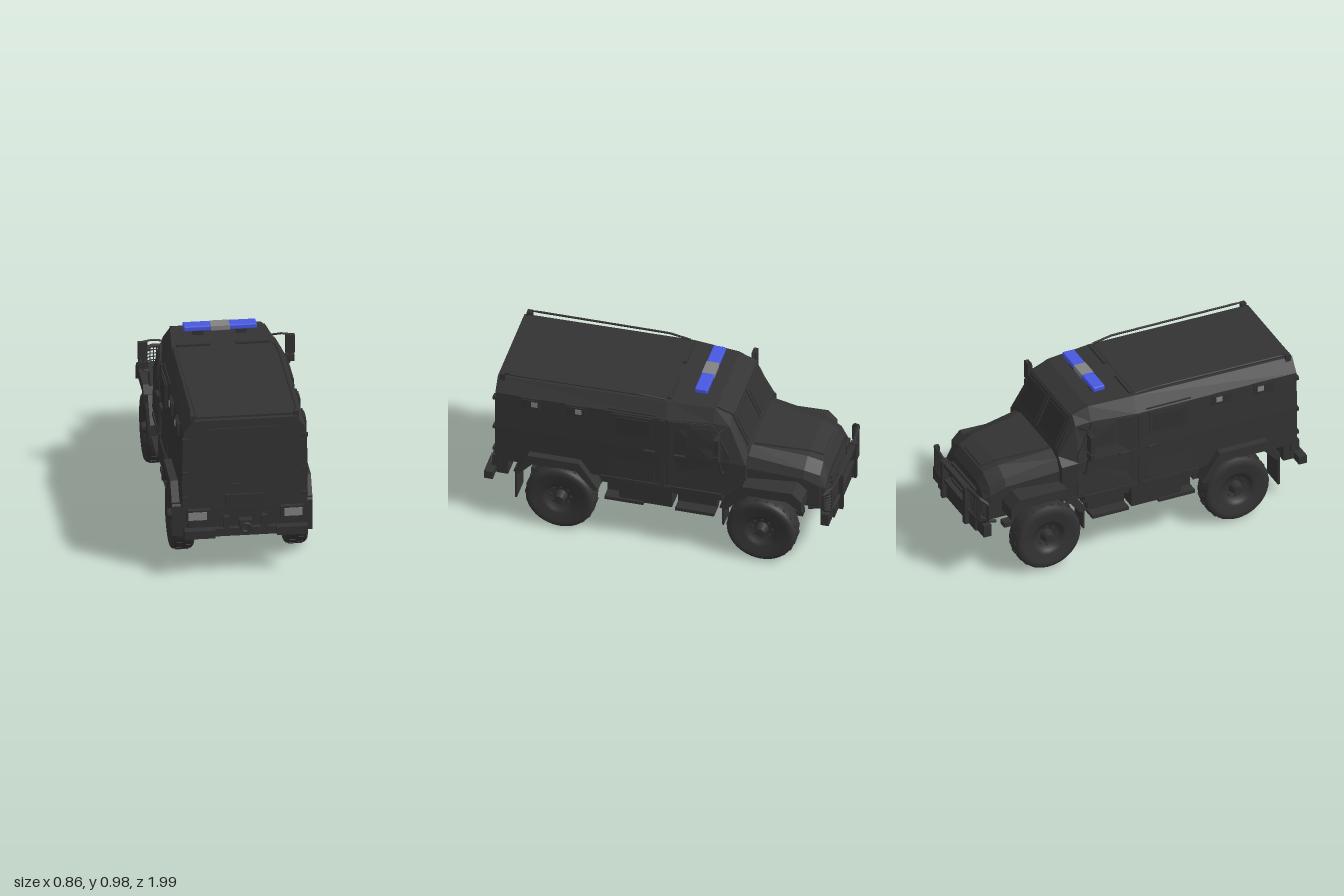
import * as THREE from 'three';
import { RoundedBoxGeometry } from 'three/addons/geometries/RoundedBoxGeometry.js';

const paint = (name, color) => Object.assign(new THREE.MeshStandardMaterial({ color }), { name });
const M = {
  body: paint('charcoal body', 0x333333),
  trim: paint('dark trim', 0x323232),
  tyre: paint('tyre rubber', 0x333333),
  glass: paint('dark glass', 0x303030),
  blue: paint('beacon blue', 0x4858e0),
  grey: paint('lens grey', 0x828282),
};

// Half cross-sections of the hull from tail (+z) to nose (-z): z, then [x, y] from sill to roof
const HULL = [
  [0.925, [[0.345, 0.39], [0.347, 0.62], [0.34, 0.845], [0.285, 0.92]]],
  [-0.04, [[0.345, 0.39], [0.347, 0.62], [0.34, 0.845], [0.285, 0.93]]],
  [-0.30, [[0.342, 0.39], [0.345, 0.62], [0.305, 0.845], [0.262, 0.92]]],
  [-0.39, [[0.34, 0.39], [0.343, 0.62], [0.291, 0.83], [0.252, 0.885]]],
  [-0.49, [[0.33, 0.39], [0.333, 0.61], [0.285, 0.66], [0.27, 0.67]]],
];
const HOOD = [
  [-0.48, [[0.3, 0.4], [0.3, 0.57], [0.27, 0.635], [0.2, 0.662]]],
  [-0.80, [[0.27, 0.4], [0.27, 0.535], [0.25, 0.58], [0.17, 0.62]]],
  [-0.885, [[0.255, 0.34], [0.255, 0.49], [0.23, 0.545], [0.155, 0.588]]],
  [-0.92, [[0.235, 0.34], [0.235, 0.47], [0.21, 0.505], [0.145, 0.535]]],
];

// Skin mirrored cross-sections, closed at both ends
function loft(sections) {
  const rings = sections.map(([z, half]) =>
    [...half, ...half.map(([x, y]) => [-x, y]).reverse()].map(([x, y]) => [x, y, z]));
  const out = [], n = rings[0].length;
  const tri = (a, b, c) => out.push(...a, ...b, ...c);
  for (let r = 0; r + 1 < rings.length; r++) for (let i = 0; i < n; i++) {
    const j = (i + 1) % n, a = rings[r], b = rings[r + 1];
    tri(a[i], b[i], a[j]);
    tri(a[j], b[i], b[j]);
  }
  const last = rings[rings.length - 1];
  for (let i = 1; i < n - 1; i++) {
    tri(rings[0][0], rings[0][i], rings[0][i + 1]);
    tri(last[0], last[i + 1], last[i]);
  }
  const g = new THREE.BufferGeometry();
  g.setAttribute('position', new THREE.Float32BufferAttribute(out, 3));
  g.computeVertexNormals();
  return g;
}

// Width of the hull side at a given z and y
function skinX(z, y) {
  let k = 0;
  while (k < HULL.length - 2 && z < HULL[k + 1][0]) k++;
  const [za, a] = HULL[k], [zb, b] = HULL[k + 1], t = (z - za) / (zb - za);
  const pts = a.map((p, i) => [p[0] + (b[i][0] - p[0]) * t, p[1] + (b[i][1] - p[1]) * t]);
  let i = 0;
  while (i < 2 && y > pts[i + 1][1]) i++;
  const s = (y - pts[i][1]) / (pts[i + 1][1] - pts[i][1]);
  return pts[i][0] + (pts[i + 1][0] - pts[i][0]) * s;
}

export function createModel() {
  const root = new THREE.Group();
  root.name = 'armouredTruck';
  const add = (name, geo, mat, parent = root) => {
    const m = new THREE.Mesh(geo, mat);
    m.name = name;
    parent.add(m);
    return m;
  };
  const box = (name, x0, x1, y0, y1, z0, z1, mat = M.trim) => {
    const m = add(name, new THREE.BoxGeometry(x1 - x0, y1 - y0, z1 - z0), mat);
    m.position.set((x0 + x1) / 2, (y0 + y1) / 2, (z0 + z1) / 2);
    return m;
  };
  const pair = (name, x0, x1, ...rest) => {
    box(name + 'Left', x0, x1, ...rest);
    box(name + 'Right', -x1, -x0, ...rest);
  };
  const tube = (name, pts, r, mat = M.trim) => {
    for (const s of [1, -1]) {
      const path = new THREE.CurvePath();
      const v = pts.map(([x, y, z]) => new THREE.Vector3(s * x, y, z));
      for (let i = 0; i + 1 < v.length; i++) path.add(new THREE.LineCurve3(v[i], v[i + 1]));
      add(name + (s > 0 ? 'Left' : 'Right'), new THREE.TubeGeometry(path, v.length * 6, r, 6), mat);
    }
  };
  // Side outline in (z, y), extruded across x on both sides of the truck
  const outline = pts => new THREE.Shape(pts.map(p => new THREE.Vector2(...p)));
  const sidePart = (name, pts, x0, x1, mat) => {
    for (const s of [1, -1]) {
      const g = new THREE.ExtrudeGeometry(outline(pts), { depth: x1 - x0, bevelEnabled: false });
      g.rotateY(-Math.PI / 2).translate(s > 0 ? x1 : -x0, 0, 0);
      add(name + (s > 0 ? 'Left' : 'Right'), g, mat);
    }
  };
  // Thin plate that follows the slope of the hull side
  const skinPlate = (name, pts, lift, mat) => {
    for (const s of [1, -1]) {
      const g = new THREE.ExtrudeGeometry(outline(pts), { depth: 0.008, bevelEnabled: false });
      g.rotateY(-Math.PI / 2).translate(0.004, 0, 0);
      const p = g.attributes.position;
      for (let i = 0; i < p.count; i++) p.setX(i, p.getX(i) + s * (skinX(p.getZ(i), p.getY(i)) + lift));
      g.computeVertexNormals();
      add(name + (s > 0 ? 'Left' : 'Right'), g, mat);
    }
  };
  const rect = (z0, z1, y0, y1) => [[z0, y0], [z1, y0], [z1, y1], [z0, y1]];

  // Hull, hood and raised hood panel
  add('hull', loft(HULL), M.body);
  add('hood', loft(HOOD), M.body);
  add('hoodPanel', loft([
    [-0.50, [[0.2, 0.6], [0.19, 0.67]]],
    [-0.80, [[0.135, 0.56], [0.125, 0.63]]],
    [-0.875, [[0.115, 0.52], [0.105, 0.602]]],
  ]), M.body);

  // Doors, side windows and handles
  skinPlate('rearDoor', rect(0.02, 0.29, 0.41, 0.86), 0.001, M.body);
  skinPlate('cabDoor', [[-0.06, 0.41], [-0.06, 0.84], [-0.3, 0.84], [-0.4, 0.66], [-0.4, 0.41]].reverse(), 0.004, M.body);
  skinPlate('pillar', rect(-0.035, -0.005, 0.4, 0.84), 0.004, M.body);
  const windows = [rect(0.665, 0.79, 0.775, 0.848), rect(0.41, 0.53, 0.775, 0.848), rect(0.03, 0.26, 0.7, 0.84),
    [[-0.36, 0.69], [-0.16, 0.69], [-0.16, 0.835], [-0.30, 0.835]]];
  windows.forEach((w, i) => {
    const cz = w.reduce((a, p) => a + p[0] / 4, 0), cy = w.reduce((a, p) => a + p[1] / 4, 0);
    skinPlate('windowFrame' + i, w, 0.007, M.trim);
    skinPlate('windowGlass' + i, w.map(([z, y]) => [cz + (z - cz) * 0.8, cy + (y - cy) * 0.75]), 0.012, M.glass);
  });
  for (const z of [0.7, 0.45]) skinPlate('gunPort', rect(z - 0.018, z + 0.018, 0.8, 0.83), 0.015, M.grey);
  for (const z of [0.05, -0.12]) pair('doorHandle', 0.345, 0.362, 0.61, 0.625, z - 0.03, z + 0.03);

  // Split windscreen and visor
  for (const s of [1, -1]) for (const [n, w, h, d, mat] of [['Frame', 0.245, 0.2, 0.012, M.trim], ['Glass', 0.205, 0.16, 0.02, M.glass]]) {
    const pane = add('windscreen' + n, new THREE.BoxGeometry(w, h, d), mat);
    pane.position.set(s * 0.128, 0.778, -0.441);
    pane.rotation.x = 0.435;
  }
  const visor = box('visor', -0.25, 0.25, 0.895, 0.907, -0.405, -0.30, M.body);
  visor.rotation.x = -0.38;

  // Roof rails, hatch strips and light bar
  box('roofPanel', -0.265, 0.265, 0.915, 0.933, -0.02, 0.9, M.body);
  tube('roofRail', [[0.285, 0.91, 0.9], [0.29, 0.945, 0.88], [0.285, 0.95, 0.1], [0.275, 0.935, -0.02]], 0.006);
  pair('roofCornerPost', 0.27, 0.3, 0.905, 0.945, 0.88, 0.91);
  pair('roofStep', 0.07, 0.26, 0.93, 0.943, -0.05, -0.03);
  pair('lightBarFoot', 0.09, 0.15, 0.91, 0.957, -0.22, -0.19);
  const bar = (name, x0, x1, mat) => {
    const m = add(name, new RoundedBoxGeometry(x1 - x0, 0.031, 0.072, 2, 0.008), mat);
    m.position.set((x0 + x1) / 2, 0.971, -0.203);
  };
  bar('beaconLeft', 0.046, 0.202, M.blue);
  bar('beaconRight', -0.202, -0.046, M.blue);
  const centre = box('beaconCentre', -0.054, 0.054, 0.955, 0.987, -0.2395, -0.1665, M.grey);
  centre.geometry = new RoundedBoxGeometry(0.108, 0.032, 0.073, 2, 0.004);

  // Mirrors on tubular arms
  pair('mirror', 0.38, 0.432, 0.72, 0.828, -0.36, -0.335);
  pair('wideMirror', 0.376, 0.43, 0.67, 0.71, -0.36, -0.335);
  tube('mirrorArm', [[0.3, 0.82, -0.37], [0.36, 0.835, -0.35], [0.405, 0.83, -0.345], [0.405, 0.66, -0.345], [0.372, 0.65, -0.35], [0.366, 0.56, -0.36], [0.335, 0.55, -0.37]], 0.006);

  // Wheel arches and mud flaps
  const rearArch = [[0.81, 0.36], [0.73, 0.48], [0.44, 0.48], [0.33, 0.32], [0.355, 0.31], [0.46, 0.43], [0.70, 0.43], [0.78, 0.345]];
  sidePart('rearFender', rearArch, 0.25, 0.388, M.body);
  const frontArch = [[-0.485, 0.505], [-0.77, 0.512], [-0.82, 0.46], [-0.82, 0.39], [-0.74, 0.45], [-0.52, 0.45], [-0.47, 0.40], [-0.455, 0.46]];
  sidePart('frontFender', frontArch, 0.22, 0.388, M.body);
  sidePart('frontFenderLeg', [[-0.35, 0.32], [-0.48, 0.49], [-0.5, 0.44], [-0.39, 0.31]], 0.22, 0.365, M.body);
  pair('rearFlap', 0.25, 0.387, 0.18, 0.38, 0.79, 0.802);
  pair('frontFlap', 0.25, 0.36, 0.2, 0.34, -0.375, -0.365);

  // Floor, steps and side lockers
  pair('floorPan', 0.13, 0.33, 0.34, 0.4, -0.36, 0.33);
  sidePart('locker', [[-0.08, 0.39], [-0.08, 0.26], [0.2, 0.26], [0.22, 0.28], [0.22, 0.39]], 0.22, 0.355, M.trim);
  for (const z of [0.2, -0.2]) {
    pair('step', 0.26, 0.365, 0.25, 0.27, z - 0.12, z + 0.1);
    pair('stepBack', 0.25, 0.3, 0.26, 0.39, z - 0.12, z + 0.1);
  }
  pair('sill', 0.33, 0.353, 0.375, 0.4, -0.36, 0.33);

  // Chassis, axles and drivetrain
  pair('chassisRail', 0.1, 0.14, 0.26, 0.36, -0.9, 0.93);
  for (const z of [-0.42, -0.1, 0.3, 0.8]) box('crossMember', -0.14, 0.14, 0.27, 0.33, z - 0.03, z + 0.03);
  box('engineBay', -0.2, 0.2, 0.3, 0.45, -0.88, -0.42);
  box('gearbox', -0.08, 0.08, 0.23, 0.39, -0.3, 0.02);
  const shaft = add('driveShaft', new THREE.CylinderGeometry(0.018, 0.018, 1.1, 8).rotateX(Math.PI / 2), M.trim);
  shaft.position.set(0, 0.24, -0.015);

  // Wheels: tyre, shallow lugs, dished rim, hub and nuts
  const half = [[0.1, -0.05], [0.155, -0.062], [0.18, -0.061], [0.192, -0.05], [0.197, -0.025], [0.197, 0]];
  const profile = [...half, ...half.slice(0, 5).map(([r, y]) => [r, -y]).reverse()].map(p => new THREE.Vector2(...p));
  const tyreGeo = new THREE.LatheGeometry(profile, 40);
  const rimGeo = new THREE.LatheGeometry([[0, 0.02], [0.07, 0.02], [0.085, 0.05], [0.11, 0.053]].reverse().map(p => new THREE.Vector2(...p)), 24);
  const lugGeo = new THREE.BoxGeometry(0.01, 0.03, 0.016);
  for (const z of [-0.585, 0.555]) {
    const axle = add('axle', new THREE.CylinderGeometry(0.036, 0.036, 0.52, 12).rotateZ(Math.PI / 2), M.trim);
    axle.position.set(0, 0.203, z);
    const diff = add('differential', new THREE.SphereGeometry(0.07, 16, 12).scale(1.6, 0.9, 1), M.trim);
    diff.position.set(0, 0.207, z);
    pair('leafSpring', 0.17, 0.22, 0.235, 0.265, z - 0.2, z + 0.2);
    tube('damper', [[0.2, 0.18, z + 0.05], [0.16, 0.4, z + 0.09]], 0.014);
    for (const s of [1, -1]) {
      const wheel = new THREE.Group();
      wheel.name = (z < 0 ? 'front' : 'rear') + 'Wheel' + (s > 0 ? 'Left' : 'Right');
      wheel.position.set(s * 0.313, 0.203, z);
      wheel.rotation.z = -s * Math.PI / 2;
      root.add(wheel);
      add('tyre', tyreGeo, M.tyre, wheel);
      add('rim', rimGeo, M.trim, wheel);
      add('rimBack', new THREE.CylinderGeometry(0.11, 0.11, 0.06, 24), M.trim, wheel).position.y = -0.015;
      add('brakeDrum', new THREE.CylinderGeometry(0.08, 0.07, 0.05, 20), M.trim, wheel).position.y = -0.06;
      add('hub', new THREE.CylinderGeometry(0.026, 0.04, 0.058, 12), M.trim, wheel).position.y = 0.042;
      for (let i = 0; i < 8; i++) {
        const a = i * Math.PI / 4;
        add('wheelNut', new THREE.CylinderGeometry(0.007, 0.007, 0.012, 6), M.trim, wheel).position.set(0.057 * Math.cos(a), 0.025, 0.057 * Math.sin(a));
      }
      for (let i = 0; i < 44; i++) {
        const a = i * Math.PI / 22, lug = add('treadLug', lugGeo, M.tyre, wheel);
        lug.position.set(0.194 * Math.cos(a), i % 2 ? 0.022 : -0.022, 0.194 * Math.sin(a));
        lug.rotation.y = -a;
      }
    }
  }

  // Nose: grille slats, headlamps, bumper and guard bars
  for (let i = 0; i < 4; i++) box('grilleSlat', -0.15, 0.15, 0.37 + i * 0.035, 0.385 + i * 0.035, -0.935, -0.915);
  pair('headlamp', 0.17, 0.245, 0.39, 0.46, -0.932, -0.9);
  box('frontBumper', -0.24, 0.24, 0.28, 0.36, -0.97, -0.89);
  sidePart('bumperEnd', rect(-0.96, -0.915, 0.285, 0.36), 0.24, 0.33, M.trim);
  pair('bullBarPost', 0.13, 0.158, 0.28, 0.515, -0.995, -0.96);
  box('bullBarRail', -0.15, 0.15, 0.485, 0.51, -0.99, -0.965);
  box('bullBarLowRail', -0.15, 0.15, 0.38, 0.4, -0.985, -0.965);
  tube('lampGuard', [[0.14, 0.505, -0.975], [0.29, 0.515, -0.965], [0.325, 0.49, -0.93], [0.325, 0.39, -0.93], [0.29, 0.365, -0.96], [0.14, 0.37, -0.975]], 0.011);
  for (let i = 0; i < 7; i++) tube('guardWire', [[0.175 + i * 0.019, 0.37, -0.967], [0.175 + i * 0.019, 0.512, -0.967]], 0.0035);
  for (let i = 0; i < 6; i++) tube('guardWireAcross', [[0.15, 0.39 + i * 0.02, -0.97], [0.29, 0.39 + i * 0.02, -0.966], [0.325, 0.39 + i * 0.02, -0.93]], 0.0035);
  tube('bumperStay', [[0.12, 0.29, -0.93], [0.12, 0.25, -0.88], [0.12, 0.225, -0.79]], 0.01);

  // Tail: door panel, hinges, lamps, bumper and tow hitch
  box('rearDoorPanel', -0.215, 0.215, 0.42, 0.87, 0.92, 0.93, M.body);
  box('rearStep', -0.11, 0.11, 0.415, 0.475, 0.925, 0.94);
  box('rearHandle', -0.08, -0.02, 0.525, 0.54, 0.925, 0.942);
  for (const y of [0.45, 0.6, 0.8]) pair('rearHinge', 0.315, 0.347, y, y + 0.02, 0.92, 0.938);
  box('rearCrossBeam', -0.31, 0.31, 0.27, 0.4, 0.86, 0.925);
  pair('tailLamp', 0.195, 0.322, 0.325, 0.394, 0.9, 0.95);
  pair('tailLens', 0.214, 0.315, 0.337, 0.383, 0.948, 0.955, M.grey);
  pair('rearBumper', 0.17, 0.34, 0.24, 0.287, 0.94, 0.99);
  box('rearBumperBar', -0.2, 0.2, 0.235, 0.28, 0.91, 0.955);
  pair('bumperBracket', 0.09, 0.12, 0.24, 0.35, 0.89, 0.96);
  box('towHitch', -0.035, 0.035, 0.25, 0.33, 0.92, 0.97);
  const hook = add('towHook', new THREE.TorusGeometry(0.025, 0.008, 6, 12), M.trim);
  hook.position.set(0, 0.29, 0.975);
  return root;
}
